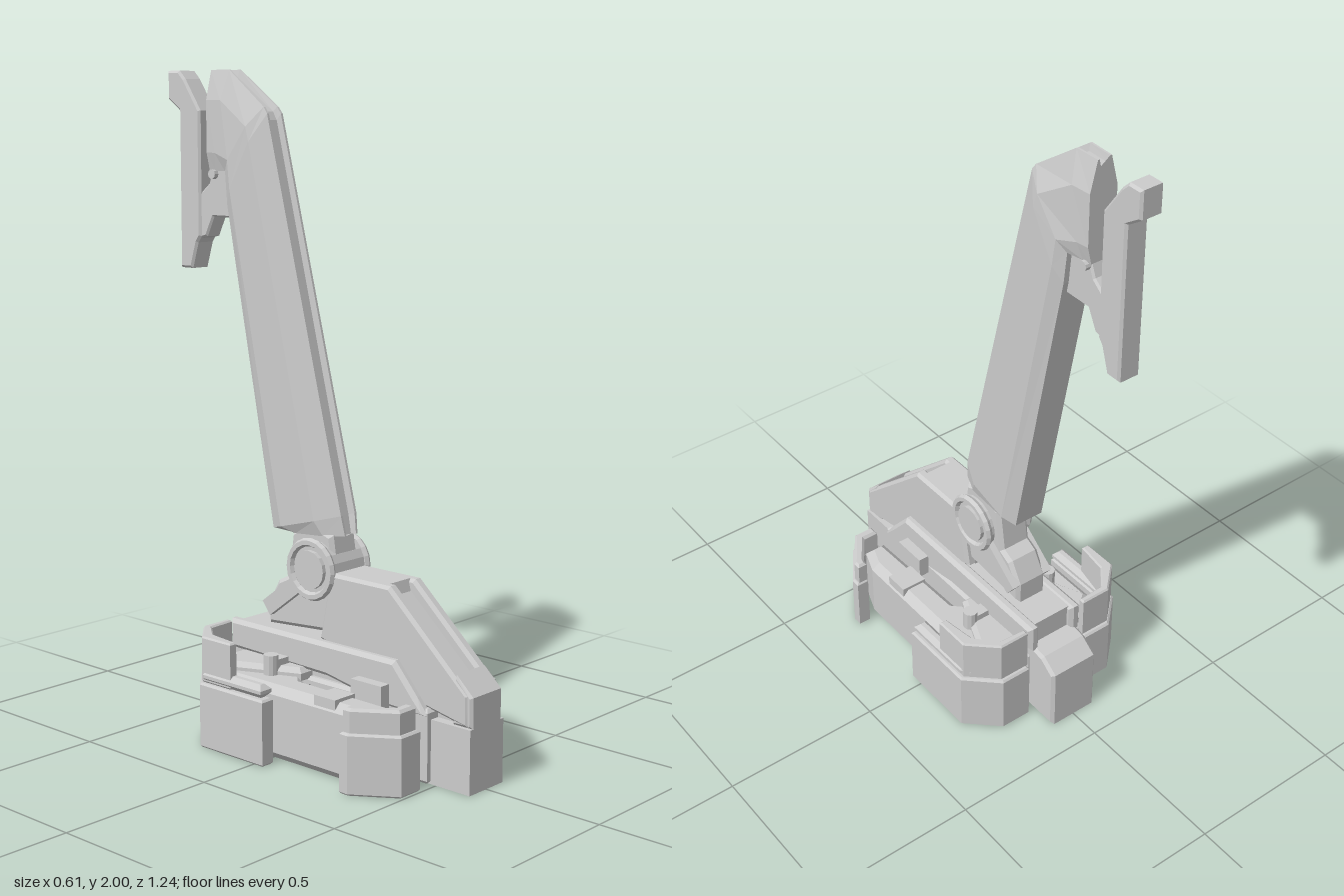
import * as THREE from 'three';

const mat = new THREE.MeshStandardMaterial({ color: 0xcccccc, flatShading: true });

function add(parent, name, geo) {
  const m = new THREE.Mesh(geo, mat);
  m.name = name;
  parent.add(m);
  return m;
}

function extrude(pts, depth, bevel) {
  const shape = new THREE.Shape(pts.map(p => new THREE.Vector2(p[0], p[1])));
  const geo = new THREE.ExtrudeGeometry(shape, {
    depth: depth - 2 * bevel, bevelEnabled: bevel > 0, bevelThickness: bevel,
    bevelSize: bevel, bevelOffset: -bevel, bevelSegments: 1,
  });
  return geo.translate(0, 0, bevel);
}

// Side profile of [z, y] points, spanning x0..x1
const side = (pts, x0, x1, bevel = 0) =>
  extrude(pts, x1 - x0, bevel).rotateY(-Math.PI / 2).translate(x1, 0, 0);

// Plan outline of [x, z] points, spanning y0..y1
const plan = (pts, y0, y1, bevel = 0) =>
  extrude(pts, y1 - y0, bevel).rotateX(Math.PI / 2).translate(0, y1, 0);

const box = (x0, x1, y0, y1, z0, z1) =>
  new THREE.BoxGeometry(x1 - x0, y1 - y0, z1 - z0)
    .translate((x0 + x1) / 2, (y0 + y1) / 2, (z0 + z1) / 2);

// Skin over equal rings of points, capped at both ends
function loft(rings) {
  const n = rings[0].length, idx = [];
  for (let i = 0; i < rings.length - 1; i++) {
    for (let j = 0; j < n; j++) {
      const a = i * n + j, b = i * n + (j + 1) % n;
      idx.push(a, b, b + n, a, b + n, a + n);
    }
  }
  const top = (rings.length - 1) * n;
  for (let j = 1; j < n - 1; j++) idx.push(0, j + 1, j, top, top + j, top + j + 1);
  const geo = new THREE.BufferGeometry();
  geo.setAttribute('position', new THREE.Float32BufferAttribute(rings.flat(2), 3));
  geo.setIndex(idx);
  const flat = geo.toNonIndexed();
  flat.computeVertexNormals();
  return flat;
}

function buildArm() {
  const arm = new THREE.Group();
  arm.name = 'raisedArm';
  // Cross-section [x share, depth share]: chamfered, with a groove in the front
  const half = [[0.28, 0.07], [0.38, 0], [0.5, 0], [1, 0.3], [1, 0.82], [0.72, 1]];
  const section = [...half, ...half.map(([u, t]) => [-u, t]).reverse()];
  // Stations: half width, front [z, y], back [z, y]
  const stations = [
    [0.055, [0.11, 0.65], [-0.1, 0.635]],
    [0.068, [0.1, 0.71], [-0.16, 0.64]],
    [0.066, [-0.195, 1.87], [-0.35, 1.6]],
    [0.064, [-0.21, 1.89], [-0.36, 1.7]],
    [0.05, [-0.36, 2], [-0.41, 1.7]],
    [0.045, [-0.44, 2], [-0.44, 1.7]],
  ];
  add(arm, 'forearm', loft(stations.map(([w, f, b]) => section.map(([u, t]) =>
    [u * w, f[1] + (b[1] - f[1]) * t, f[0] + (b[0] - f[0]) * t]))));
  add(arm, 'wristBracket', side([[-0.33, 1.56], [-0.43, 1.56], [-0.46, 1.5], [-0.5, 1.49],
    [-0.5, 1.62], [-0.45, 1.66], [-0.43, 1.71], [-0.34, 1.71]], -0.03, 0.03, 0.006));
  add(arm, 'wristPin', new THREE.CylinderGeometry(0.015, 0.015, 0.09, 10)
    .rotateZ(Math.PI / 2).translate(0, 1.69, -0.42));
  add(arm, 'rearBlade', side([[-0.48, 1.5], [-0.48, 1.88], [-0.545, 1.975], [-0.57, 2], [-0.62, 2],
    [-0.62, 1.915], [-0.57, 1.88], [-0.57, 1.4], [-0.52, 1.4], [-0.495, 1.48]], -0.037, 0.037, 0.007));
  return arm;
}

function buildPivot() {
  const pivot = new THREE.Group();
  pivot.name = 'armPivot';
  add(pivot, 'pivotNeck', side([[0.1, 0.52], [0.1, 0.36], [-0.18, 0.34], [-0.18, 0.41], [-0.14, 0.48],
    [-0.1, 0.5], [-0.08, 0.64], [0, 0.68], [0.08, 0.65]], -0.055, 0.055, 0.012));
  add(pivot, 'hub', new THREE.CylinderGeometry(0.085, 0.085, 0.15, 20)
    .rotateZ(Math.PI / 2).translate(0, 0.545, 0.02));
  for (const s of [1, -1]) {
    add(pivot, 'hubRim', new THREE.TorusGeometry(0.082, 0.013, 6, 20)
      .rotateY(Math.PI / 2).translate(s * 0.077, 0.545, 0.02));
    add(pivot, 'hubCap', new THREE.CylinderGeometry(0.058, 0.058, 0.03, 16)
      .rotateZ(Math.PI / 2).translate(s * 0.073, 0.545, 0.02));
    const strut = add(pivot, 'neckStrut', new THREE.BoxGeometry(0.03, 0.05, 0.22));
    strut.position.set(s * 0.06, 0.46, -0.08);
    strut.rotation.x = -0.65;
  }
  return pivot;
}

function buildCowl() {
  const cowl = new THREE.Group();
  cowl.name = 'centralBody';
  // Sunken ridge between two raised rails
  add(cowl, 'cowlCore', side([[0.57, 0.19], [0.57, 0.28], [0.31, 0.51], [0.3, 0.545], [0.1, 0.545],
    [0.05, 0.35], [0.05, 0.19]], -0.045, 0.045));
  add(cowl, 'cowlNose', side([[0.62, 0.19], [0.62, 0.28], [0.56, 0.335], [0.55, 0.19]], -0.07, 0.07, 0.008));
  for (const s of [1, -1]) {
    const span = (a, b) => s > 0 ? [a, b] : [-b, -a];
    add(cowl, 'cowlRail', side([[0.61, 0.19], [0.61, 0.285], [0.32, 0.545], [0.09, 0.545], [0.05, 0.34],
      [0.3, 0.25]], ...span(0.035, 0.075), 0.01));
    add(cowl, 'sideSkirt', side([[0.48, 0.2], [0.44, 0.25], [0.36, 0.34], [-0.3, 0.34], [-0.3, 0.25],
      [0.1, 0.24], [0.32, 0.2]], ...span(0.06, 0.1), 0.012));
    add(cowl, 'slotPlate', box(...span(0.1, 0.135), 0.2, 0.27, 0.23, 0.345));
  }
  add(cowl, 'deck', box(-0.07, 0.07, 0.2, 0.335, -0.28, 0.3));
  add(cowl, 'noseBlock', box(-0.075, 0.075, 0, 0.19, 0.44, 0.62));
  add(cowl, 'keel', plan([[-0.09, 0.48], [0.09, 0.48], [0.09, -0.28], [-0.09, -0.28]], 0, 0.22, 0.01));
  add(cowl, 'tailBlock', side([[-0.2, 0], [-0.395, 0], [-0.395, 0.21], [-0.34, 0.25], [-0.2, 0.27]],
    -0.085, 0.085, 0.01));
  return cowl;
}

function buildSide(s) {
  const g = new THREE.Group();
  g.name = s > 0 ? 'leftSide' : 'rightSide';
  const m = pts => pts.map(([x, z]) => [s * x, z]);
  const span = (a, b) => s > 0 ? [a, b] : [-b, -a];
  add(g, 'sideHull', plan(m([[0.05, -0.27], [0.15, -0.27], [0.235, -0.21], [0.24, -0.18], [0.24, 0.35],
    [0.21, 0.43], [0.14, 0.43], [0.13, 0.05], [0.11, 0.03], [0.05, 0.03]]), 0, 0.225, 0.025));
  add(g, 'rearDeck', plan(m([[0.05, -0.26], [0.14, -0.26], [0.215, -0.2], [0.12, 0.02], [0.05, 0.02]]),
    0.2, 0.25, 0.015));
  add(g, 'hullRib', box(...span(0.15, 0.235), 0.2, 0.235, 0.18, 0.26));

  // Small fitting on the rear deck
  add(g, 'fittingArm', box(...span(0.09, 0.16), 0.24, 0.27, -0.09, -0.05));
  add(g, 'fittingPost', new THREE.CylinderGeometry(0.023, 0.023, 0.06, 12)
    .translate(s * 0.155, 0.255, -0.07));

  // Rear guard: long wrapped plate with a raised collar
  add(g, 'rearGuard', plan(m([[0.305, 0.04], [0.305, -0.22], [0.21, -0.31], [0.11, -0.31], [0.11, -0.28],
    [0.2, -0.28], [0.26, -0.2], [0.26, 0.04]]), 0, 0.2, 0.006));
  add(g, 'rearGuardTop', plan(m([[0.3, 0.03], [0.3, -0.21], [0.28, -0.235], [0.255, -0.2], [0.255, 0.03]]),
    0.2, 0.24, 0.015));
  add(g, 'rearGuardCollar', plan(m([[0.295, -0.1], [0.295, -0.22], [0.21, -0.3], [0.11, -0.3], [0.11, -0.28],
    [0.2, -0.275], [0.255, -0.21], [0.27, -0.1]]), 0.2, 0.34, 0.005));

  // Front guard: corner plate with a narrower lip
  add(g, 'frontGuard', plan(m([[0.305, 0.34], [0.305, 0.37], [0.22, 0.495], [0.14, 0.495], [0.14, 0.45],
    [0.2, 0.45], [0.26, 0.365], [0.265, 0.34]]), 0, 0.18, 0.006));
  add(g, 'frontGuardLip', plan(m([[0.295, 0.345], [0.295, 0.37], [0.215, 0.485], [0.15, 0.485], [0.15, 0.45],
    [0.2, 0.45], [0.26, 0.365], [0.265, 0.345]]), 0.17, 0.25, 0.008));
  return g;
}

export function createModel() {
  const model = new THREE.Group();
  model.name = 'armOnHull';
  model.add(buildArm(), buildPivot(), buildCowl(), buildSide(1), buildSide(-1));
  return model;
}
